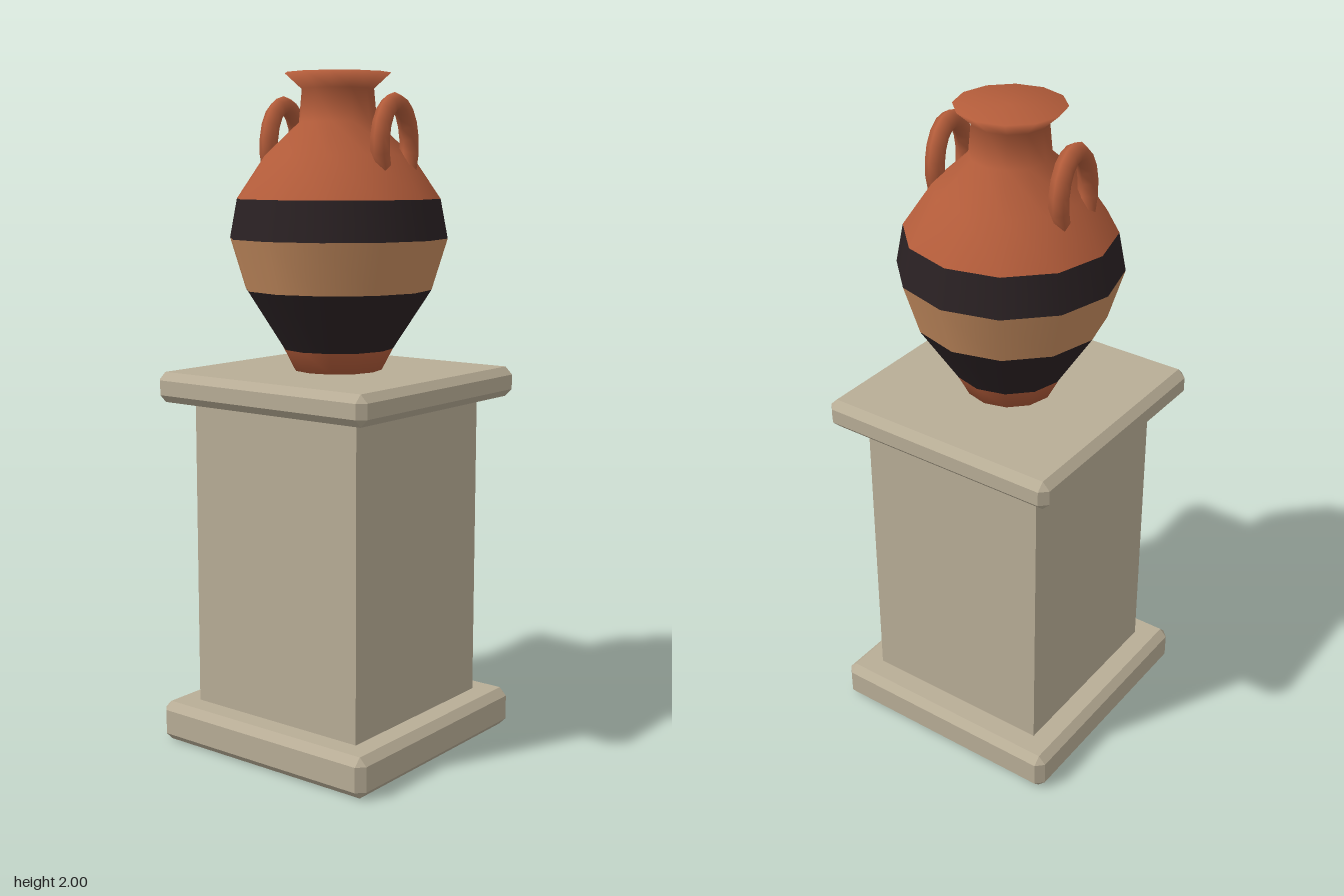
import * as THREE from 'three';
import { ConvexGeometry } from 'three/addons/geometries/ConvexGeometry.js';

const flat = (name, color) => {
  const m = new THREE.MeshStandardMaterial({ color });
  m.name = name;
  return m;
};

// Box with every edge and corner cut by b
function chamferedBox(w, h, d, b) {
  const points = [];
  for (const sx of [-1, 1]) for (const sy of [-1, 1]) for (const sz of [-1, 1]) {
    const x = w / 2, y = h / 2, z = d / 2;
    points.push(
      new THREE.Vector3(sx * x, sy * (y - b), sz * (z - b)),
      new THREE.Vector3(sx * (x - b), sy * y, sz * (z - b)),
      new THREE.Vector3(sx * (x - b), sy * (y - b), sz * z));
  }
  return new ConvexGeometry(points);
}

// Six-sided torus arc, its path stretched upward into a tall loop
function handleGeometry() {
  const arc = Math.PI * 4 / 3;
  const geo = new THREE.TorusGeometry(0.071, 0.028, 6, 12, arc);
  geo.rotateZ((Math.PI - arc) / 2);
  const p = geo.attributes.position;
  for (let i = 0; i < p.count; i++) {
    p.setY(i, p.getY(i) + 0.051 * Math.sin(Math.atan2(p.getY(i), p.getX(i))));
  }
  return geo;
}

export function createModel() {
  const group = new THREE.Group();
  const stone = flat('stone', 0xb8ad96);
  const terracotta = flat('terracotta', 0xb35c3a);
  const ochre = flat('ochre clay', 0xc48b5e);
  const black = flat('black glaze', 0x2a2123);

  const add = (name, geometry, material, y = 0, z = 0) => {
    const mesh = new THREE.Mesh(geometry, material);
    mesh.name = name;
    mesh.position.set(0, y, z);
    group.add(mesh);
  };

  // Pedestal
  add('pedestalBase', chamferedBox(0.77, 0.12, 0.77, 0.023), stone, 0.06);
  add('pedestalShaft', new THREE.BoxGeometry(0.6, 0.93, 0.6), stone, 0.58);
  add('pedestalCap', chamferedBox(0.77, 0.09, 0.77, 0.023), stone, 1.09);

  // Vase, turned in coloured bands from the foot up to the closed mouth
  const bands = [
    ['vaseFoot', terracotta, [[0, 1.136], [0.132, 1.136], [0.165, 1.2]]],
    ['lowerBand', black, [[0.165, 1.2], [0.278, 1.375]]],
    ['vaseBelly', ochre, [[0.278, 1.375], [0.324, 1.525]]],
    ['upperBand', black, [[0.324, 1.525], [0.302, 1.64]]],
    ['vaseShoulderAndNeck', terracotta, [[0.302, 1.64], [0.217, 1.765], [0.115, 1.86],
      [0.106, 1.955], [0.156, 2], [0, 2]]],
  ];
  for (const [name, material, profile] of bands) {
    const points = profile.map(([r, y]) => new THREE.Vector2(r, y));
    add(name, new THREE.LatheGeometry(points, 12), material);
  }

  // Front and back handles
  const handle = handleGeometry();
  add('frontHandle', handle, terracotta, 1.79, 0.205);
  add('backHandle', handle, terracotta, 1.79, -0.205);

  return group;
}
